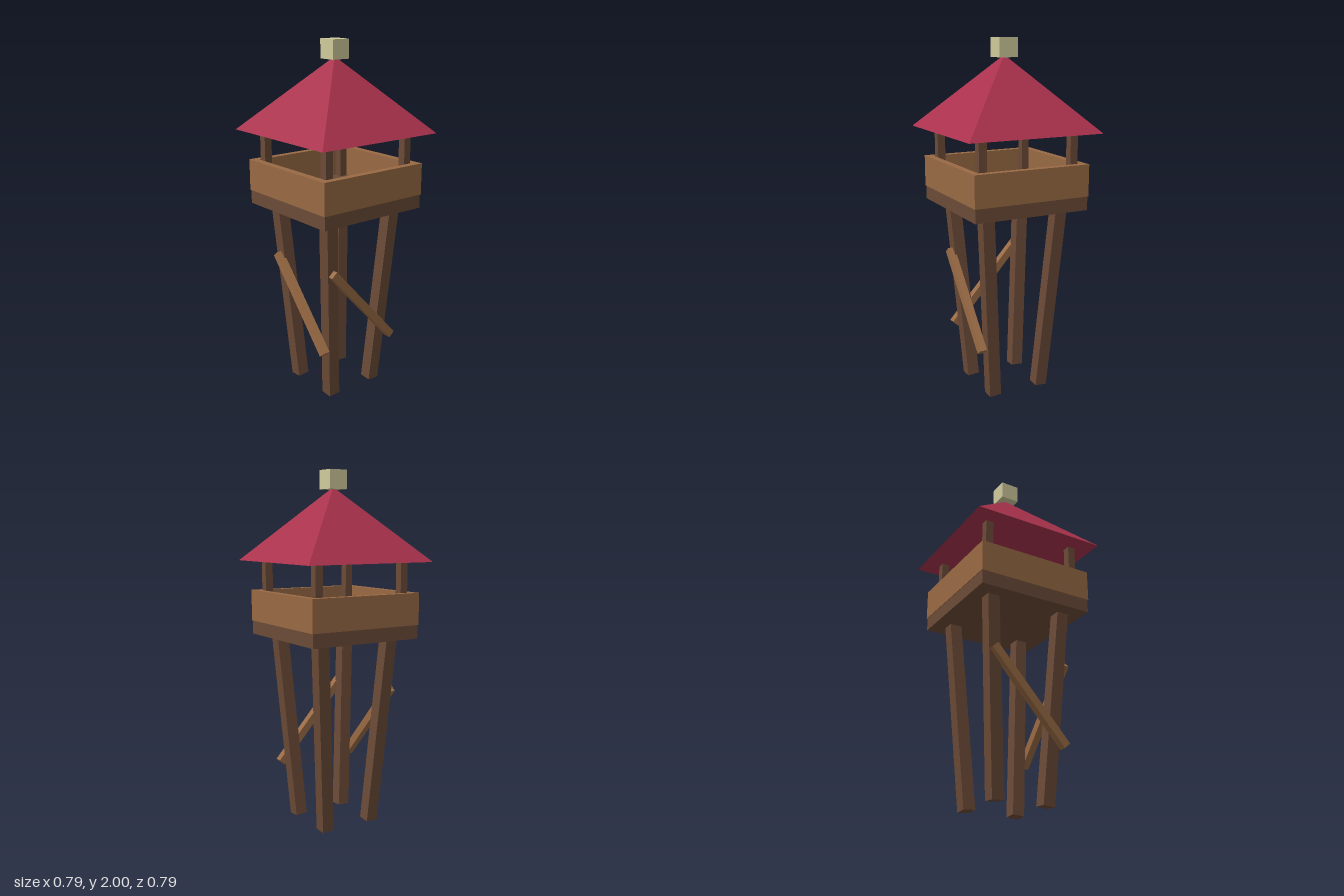
import * as THREE from 'three';

const paint = (name, hex) => {
  const m = new THREE.MeshStandardMaterial({ color: hex });
  m.name = name;
  return m;
};

export function createModel() {
  const tower = new THREE.Group();
  tower.name = 'watchtower';
  const darkWood = paint('dark wood', 0x6b4a37);
  const lightWood = paint('light wood', 0x996a44);
  const roofRed = paint('roof red', 0xaa324d);
  const cream = paint('cream', 0xcfca9b);

  const box = (name, mat, [w, h, d], [x, y, z]) => {
    const mesh = new THREE.Mesh(new THREE.BoxGeometry(w, h, d), mat);
    mesh.name = name;
    mesh.position.set(x, y, z);
    tower.add(mesh);
    return mesh;
  };

  // legs splay outward towards the top; posts carry the roof
  const up = new THREE.Vector3(0, 1, 0);
  for (const sx of [-1, 1]) {
    for (const sz of [-1, 1]) {
      const foot = new THREE.Vector3(sx * 0.149, 0.005, sz * 0.149);
      const head = new THREE.Vector3(sx * 0.224, 1.1, sz * 0.224);
      const dir = head.clone().sub(foot);
      const mid = foot.clone().add(head).multiplyScalar(0.5);
      const leg = box('leg', darkWood, [0.07, dir.length(), 0.07], mid.toArray());
      leg.quaternion.setFromUnitVectors(up, dir.normalize());
      box('roofPost', darkWood, [0.045, 0.37, 0.045], [sx * 0.273, 1.325, sz * 0.273]);
    }
  }

  // diagonal braces on the front and left sides
  const tilt = THREE.MathUtils.degToRad(48);
  box('frontBrace', lightWood, [0.645, 0.045, 0.042], [0, 0.545, 0.246]).rotation.z = -tilt;
  box('sideBrace', lightWood, [0.042, 0.045, 0.645], [0.246, 0.545, 0]).rotation.x = -tilt;

  // platform and parapet walls
  box('platform', darkWood, [0.676, 0.08, 0.676], [0, 1.118, 0]);
  for (const s of [-1, 1]) {
    box('parapetWall', lightWood, [0.684, 0.178, 0.04], [0, 1.244, s * 0.322]);
    box('parapetWall', lightWood, [0.04, 0.178, 0.604], [s * 0.322, 1.244, 0]);
  }

  // four-sided roof with a flat underside
  const roofGeo = new THREE.ConeGeometry(0.393 * Math.SQRT2, 0.405, 4).rotateY(Math.PI / 4).toNonIndexed();
  roofGeo.computeVertexNormals();
  const roof = new THREE.Mesh(roofGeo, roofRed);
  roof.name = 'roof';
  roof.position.y = 1.502 + 0.2025;
  tower.add(roof);

  // block on the roof peak
  box('finial', cream, [0.109, 0.105, 0.109], [0, 1.9475, 0]);

  return tower;
}
